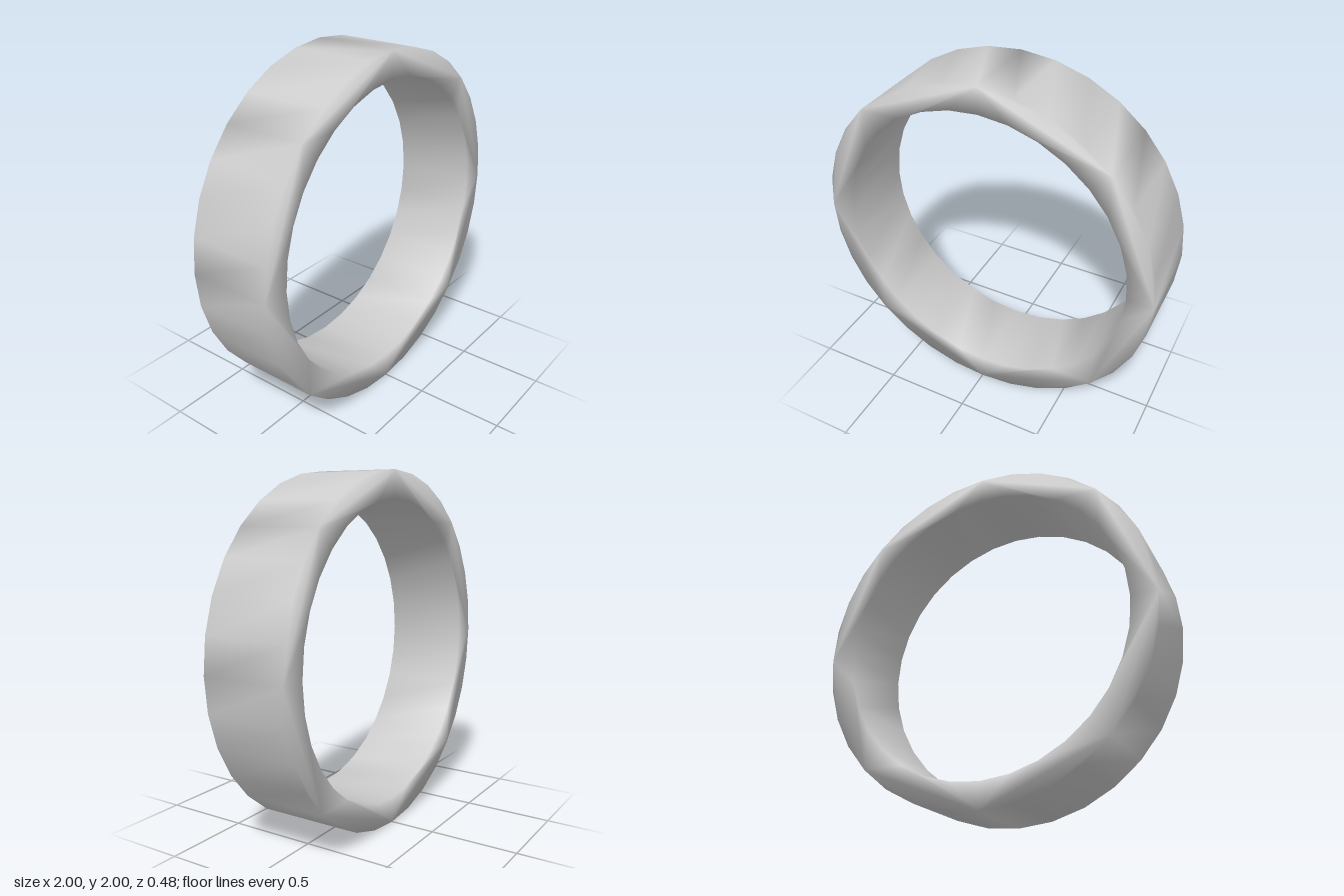
import * as THREE from 'three';
import { mergeVertices } from 'three/addons/utils/BufferGeometryUtils.js';

const SIDES = 32, OUTER = 1, INNER = 0.85, WIDTH = 0.48;

// Corners of a regular polygon
function circlePoints(radius) {
  return Array.from({ length: SIDES }, (_, i) => {
    const a = (i / SIDES) * Math.PI * 2;
    return new THREE.Vector2(radius * Math.cos(a), radius * Math.sin(a));
  });
}

export function createModel() {
  const group = new THREE.Group();
  group.name = 'ring';

  // Flat-sided band: annulus pushed out along z
  const shape = new THREE.Shape(circlePoints(OUTER));
  shape.holes.push(new THREE.Path(circlePoints(INNER)));
  let geometry = new THREE.ExtrudeGeometry(shape, { depth: WIDTH, bevelEnabled: false });
  geometry.translate(0, OUTER, -WIDTH / 2);

  // Weld the rims so the shading flows smoothly around every edge
  geometry.deleteAttribute('normal');
  geometry.deleteAttribute('uv');
  geometry.clearGroups();
  geometry = mergeVertices(geometry, 1e-4);
  geometry.computeVertexNormals();

  const band = new THREE.Mesh(geometry, new THREE.MeshStandardMaterial({ color: 0xcccccc }));
  band.name = 'band';
  group.add(band);
  return group;
}
